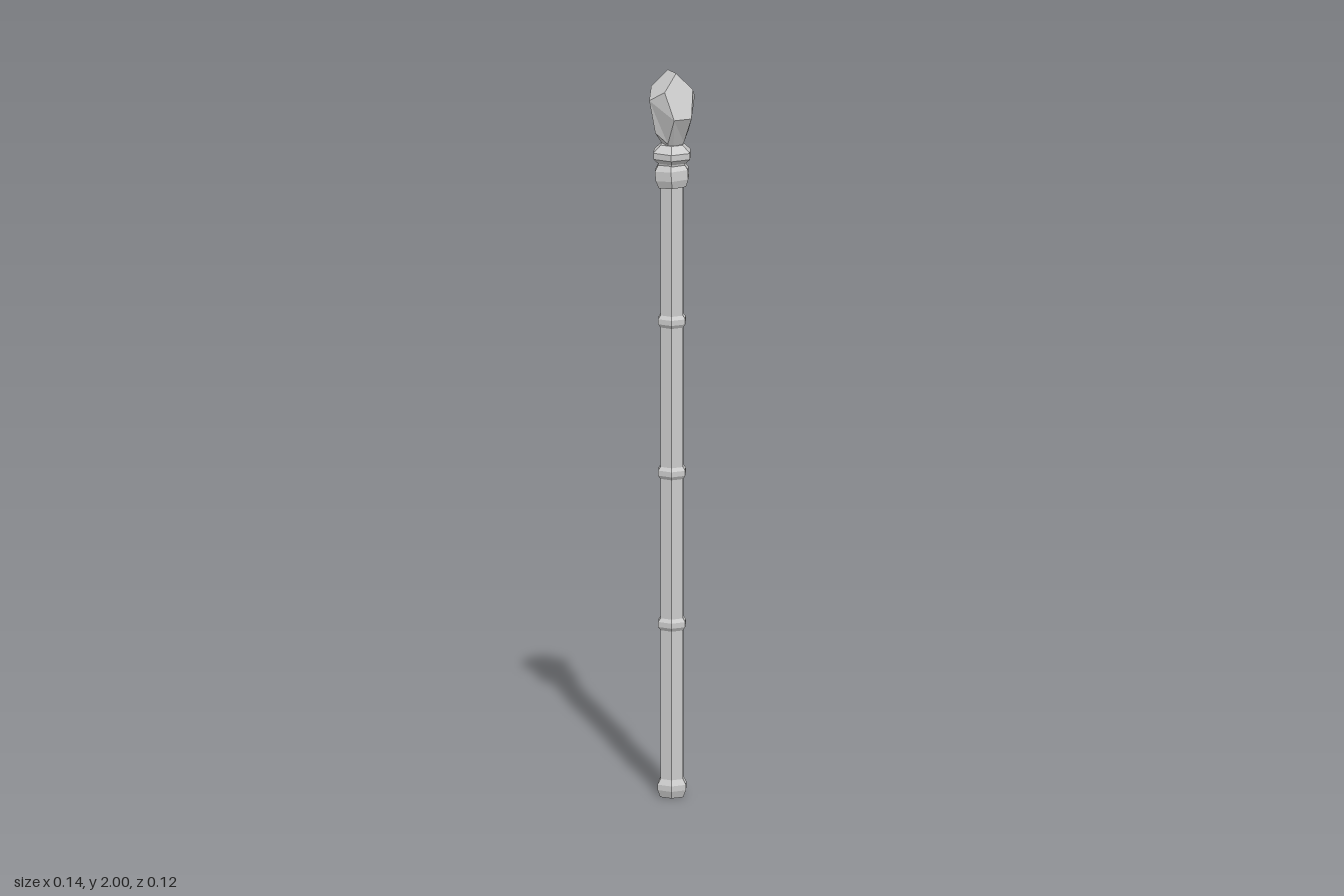
import * as THREE from 'three';

const material = new THREE.MeshStandardMaterial({ color: 0xcccccc, flatShading: true });

// Six-sided turned part from [radius, y] pairs, bottom to top, corners on the x axis
function hexTurned(name, profile, y = 0) {
  const points = profile.map(([r, h]) => new THREE.Vector2(r, h));
  const mesh = new THREE.Mesh(new THREE.LatheGeometry(points, 6, Math.PI / 2), material);
  mesh.name = name;
  mesh.position.y = y;
  return mesh;
}

// Stretched dodecahedron whose lower half narrows into the collar
function makeGem() {
  const geometry = new THREE.DodecahedronGeometry(Math.sqrt(3));
  const pos = geometry.attributes.position;
  for (let i = 0; i < pos.count; i++) {
    const y = pos.getY(i);
    const taper = y < -0.01 ? 1 + 0.43 * y : 1;
    pos.setXYZ(i, pos.getX(i) * 0.042 * taper, y * 0.074, pos.getZ(i) * 0.042 * taper);
  }
  geometry.computeVertexNormals();
  const gem = new THREE.Mesh(geometry, material);
  gem.name = 'gem';
  gem.position.y = 1.88;
  gem.rotation.y = -0.565;
  return gem;
}

export function createModel() {
  const staff = new THREE.Group();
  staff.name = 'staff';

  // Shaft and foot
  staff.add(hexTurned('shaft', [[0, 0.01], [0.035, 0.01], [0.035, 1.74], [0, 1.74]]));
  staff.add(hexTurned('foot', [[0, 0], [0.036, 0], [0.044, 0.02], [0.044, 0.035], [0.035, 0.05]]));

  // Evenly spaced knuckles along the shaft
  for (const y of [0.477, 0.895, 1.313]) {
    staff.add(hexTurned('knuckle', [[0.034, -0.018], [0.042, -0.007], [0.042, 0.007], [0.034, 0.018]], y));
  }

  // Two collar rings under the gem, the lower one set slightly askew
  const lower = hexTurned('lowerCollar',
    [[0, -0.033], [0.042, -0.033], [0.051, -0.012], [0.051, 0.014], [0.038, 0.034], [0, 0.034]], 1.716);
  lower.rotation.z = 0.07;
  staff.add(lower);
  staff.add(hexTurned('upperCollar',
    [[0, -0.035], [0.038, -0.035], [0.042, -0.02], [0.057, -0.007], [0.057, 0.01], [0.034, 0.03], [0, 0.03]], 1.77));

  staff.add(makeGem());
  return staff;
}
